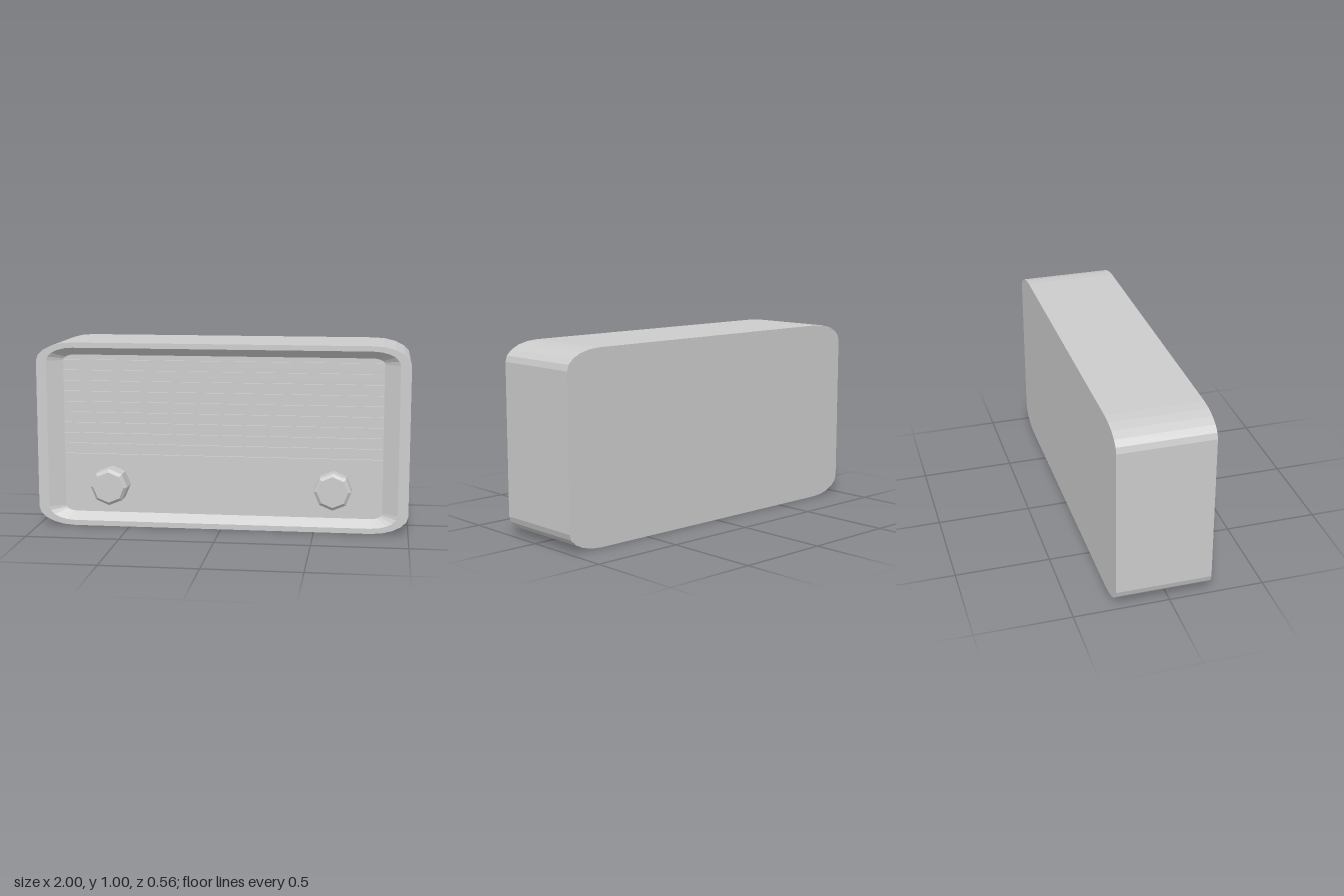
import * as THREE from 'three';

const material = new THREE.MeshStandardMaterial({ color: 0xcccccc, flatShading: true });

// Rounded outline, inset by d; stretched 2:1 in width so the corners are elliptical
function outline(d, z, segments = 5) {
  const r = 0.1 - d, c = 0.4, points = [];
  const corners = [[1, 1], [-1, 1], [-1, -1], [1, -1]];
  corners.forEach(([sx, sy], k) => {
    for (let i = 0; i <= segments; i++) {
      const a = (k + i / segments) * Math.PI / 2;
      points.push([2 * (sx * c + r * Math.cos(a)), 0.5 + sy * c + r * Math.sin(a), z]);
    }
  });
  return points;
}

// Skin through matching loops, with flat caps on the first and last
function loft(loops) {
  const n = loops[0].length, position = loops.flat(2), index = [];
  for (let k = 0; k < loops.length - 1; k++) {
    for (let i = 0; i < n; i++) {
      const a = k * n + i, b = k * n + (i + 1) % n;
      index.push(a, b, b + n, a, b + n, a + n);
    }
  }
  const last = (loops.length - 1) * n;
  for (let i = 1; i < n - 1; i++) {
    index.push(0, i + 1, i);
    index.push(last, last + i, last + i + 1);
  }
  const geometry = new THREE.BufferGeometry();
  geometry.setAttribute('position', new THREE.Float32BufferAttribute(position, 3));
  geometry.setIndex(index);
  geometry.computeVertexNormals();
  return geometry;
}

function add(parent, name, geometry, x = 0, y = 0, z = 0) {
  const mesh = new THREE.Mesh(geometry, material);
  mesh.name = name;
  mesh.position.set(x, y, z);
  parent.add(mesh);
  return mesh;
}

// Eight-sided knob with a bevelled cap, standing on the panel
function addKnob(parent, name, x, front, bevel) {
  const back = 0.16;
  const profile = [[0, back], [0.1, back], [0.1, front - bevel], [0.083, front], [0, front]]
    .map(([r, h]) => new THREE.Vector2(r, h));
  const geometry = new THREE.LatheGeometry(profile, 8);
  geometry.rotateX(Math.PI / 2);
  add(parent, name, geometry, x, 0.227, 0);
}

export function createModel() {
  const group = new THREE.Group();
  group.name = 'radio';

  // Case with a rim sloping down to the recessed front panel
  add(group, 'case', loft([
    outline(0, -0.28),
    outline(0, 0.22),
    outline(0.028, 0.22),
    outline(0.069, 0.17),
  ]));

  // Speaker grille of horizontal slats
  const grille = new THREE.Group();
  grille.name = 'speakerGrille';
  group.add(grille);
  const count = 10, pitch = 0.057;
  for (let i = 0; i < count; i++) {
    add(grille, 'slat', new THREE.BoxGeometry(1.72, 0.034, 0.025), 0, 0.375 + i * pitch, 0.1705);
  }

  // Control knobs
  addKnob(group, 'rightKnob', -0.6, 0.282, 0.018);
  addKnob(group, 'leftKnob', 0.6, 0.258, 0.014);

  return group;
}
